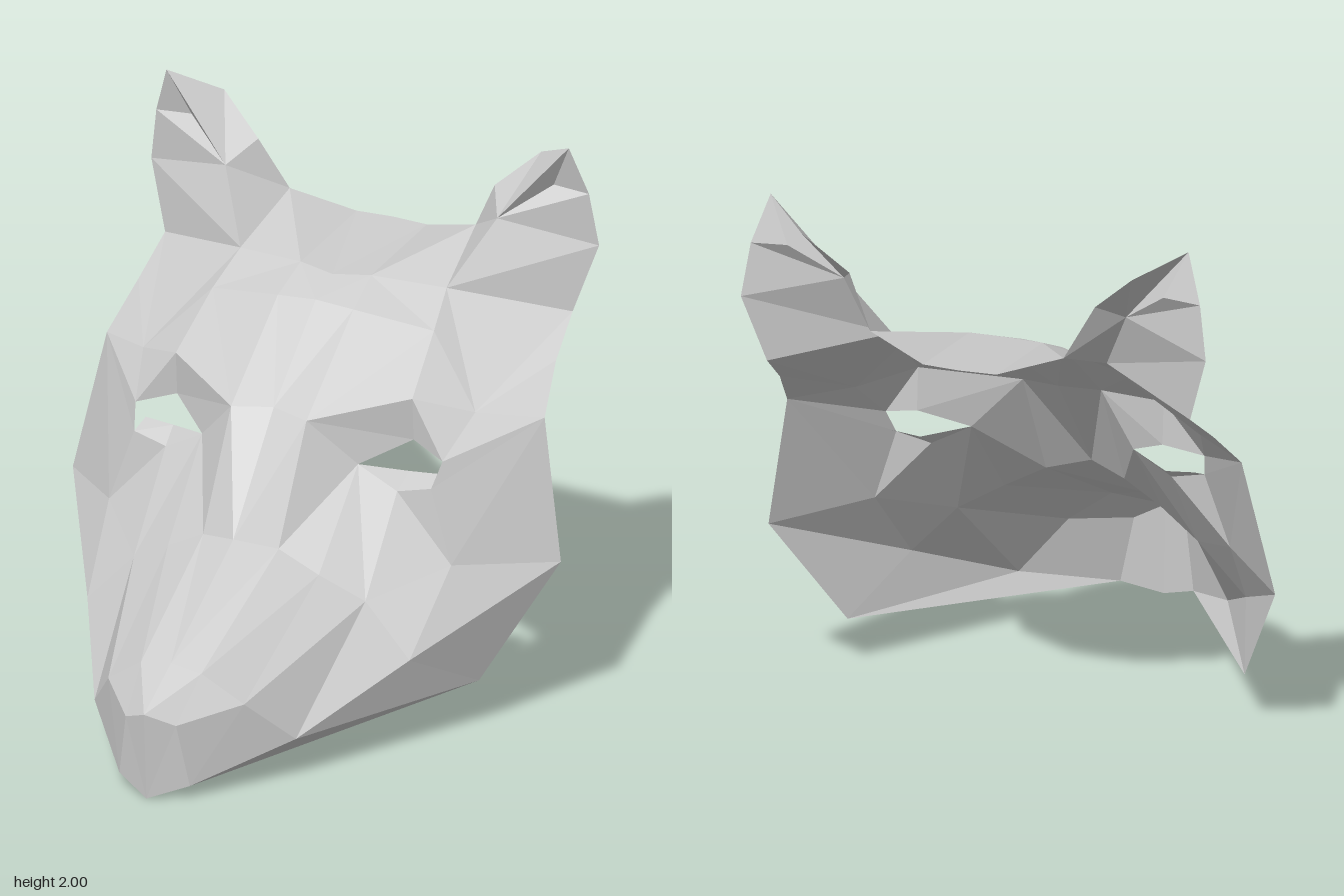
import * as THREE from 'three';

const material = new THREE.MeshStandardMaterial({ color: 0xcccccc, flatShading: true, side: THREE.DoubleSide });

// Triangles between two lines of equal length; collapsed corners are skipped
function strip(a, b) {
  const tris = [];
  for (let i = 0; i < a.length - 1; i++) {
    tris.push([a[i], b[i], b[i + 1]], [a[i], b[i + 1], a[i + 1]]);
  }
  return tris.filter(([p, q, r]) => p !== q && q !== r && r !== p);
}

// Triangles around one corner
function fan(center, ring) {
  return ring.slice(1).map((p, i) => [center, ring[i], p]);
}

// One mesh holding the left half of a part and its mirror image
function addPart(group, name, ...patches) {
  const positions = [];
  for (const [p, q, r] of patches.flat()) {
    positions.push(...p, ...q, ...r);
    for (const [x, y, z] of [p, r, q]) positions.push(-x, y, z);
  }
  const geometry = new THREE.BufferGeometry();
  geometry.setAttribute('position', new THREE.Float32BufferAttribute(positions, 3));
  geometry.computeVertexNormals();
  const mesh = new THREE.Mesh(geometry, material);
  mesh.name = name;
  group.add(mesh);
}

export function createModel() {
  const group = new THREE.Group();
  group.name = 'animalMask';

  // Profiles from the chin over nose, bridge and forehead to the crown
  const mid = [[0, 0, 0.965], [0, 0.33, 0.985], [0, 0.45, 0.77], [0, 0.74, 0.28],
    [0, 1.13, -0.04], [0, 1.42, -0.37], [0, 1.47, -0.5], [0, 1.51, -0.98]];
  const inner = [[0.14, 0.05, 0.9], [0.1, 0.285, 0.93], [0.12, 0.43, 0.77], [0.15, 0.71, 0.22],
    [0.15, 1.12, 0], [0.15, 1.41, -0.37], [0.14, 1.48, -0.53], [0.14, 1.51, -0.97]];

  // Muzzle and jaw corners
  const lip = [0.27, 0.325, 0.73];
  const jaw = [0.4, 0.16, 0.58];
  const jawBack = [0.76, 0.18, -0.15];
  const mouthCorner = [0.64, 0.35, 0.16];
  const muzzleTop = [0.3, 0.63, 0.2];
  const muzzleSide = [0.46, 0.54, 0.15];

  // Eye opening and brow corners
  const eyeInner = [0.31, 0.95, -0.09];
  const eyeTop = [0.47, 1.03, -0.21];
  const eyeOuter = [0.61, 0.99, -0.16];
  const lidInner = [0.46, 0.87, -0.1];
  const lidOuter = [0.59, 0.9, -0.11];
  const browTop = [0.47, 1.19, -0.2];
  const browOuter = [0.66, 1.13, -0.32];

  // Cheek, temple and forehead corners
  const cheek = [0.68, 0.63, -0.09];
  const cheekTip = [0.97, 0.59, -0.38];
  const temple = [0.87, 1.1, -0.45];
  const templeTop = [0.83, 1.25, -0.62];
  const foreheadSide = [0.44, 1.36, -0.43];

  // Ear corners
  const earFront = [0.41, 1.46, -0.59];
  const earOuter = [0.81, 1.37, -0.79];
  const earBack = [0.37, 1.58, -0.9];
  const earRidge = [0.54, 1.7, -0.73];
  const earFold = [0.72, 1.83, -0.82];
  const earTip = [0.8, 2, -0.78];

  addPart(group, 'noseBridge', strip(mid.slice(0, 5), inner.slice(0, 5)));
  addPart(group, 'muzzle',
    strip(inner.slice(0, 5), [jaw, lip, lip, muzzleTop, eyeInner]),
    fan(muzzleSide, [eyeInner, muzzleTop, lip, jaw, mouthCorner, cheek, lidInner, eyeInner]));
  addPart(group, 'jaw',
    fan(mouthCorner, [jaw, jawBack, cheekTip]),
    fan(jaw, [inner[0], jawBack, mouthCorner].slice(0, 2)));
  addPart(group, 'cheek',
    fan(cheek, [mouthCorner, cheekTip, temple, lidOuter, lidInner]),
    fan(temple, [browOuter, eyeOuter, lidOuter]));
  addPart(group, 'brow', strip([inner[4], browTop, browOuter], [eyeInner, eyeTop, eyeOuter]));
  addPart(group, 'lowerEyelid',
    strip([eyeInner, [0.47, 0.92, -0.18], [0.58, 0.93, -0.18]], [eyeInner, lidInner, lidOuter]));
  addPart(group, 'forehead',
    strip(mid.slice(4, 7), inner.slice(4, 7)),
    fan(foreheadSide, [inner[4], browTop, browOuter, earFront, inner[6], inner[5], inner[4]]),
    fan(browOuter, [temple, templeTop, earOuter, earFront]));
  addPart(group, 'crown', strip(mid.slice(6), inner.slice(6)), strip(inner.slice(6), [earFront, earBack]));

  // Each ear is a folded sheet, open at the back
  addPart(group, 'ear',
    strip([earFront, earRidge, earFold, earTip],
      [earOuter, [0.89, 1.62, -0.84], [0.86, 1.82, -0.82], earTip]),
    strip([earBack, [0.47, 1.77, -0.85], [0.63, 1.91, -0.9], earTip],
      [earFront, earRidge, earRidge, earTip]),
    [[earRidge, earFold, earTip]]);

  return group;
}
